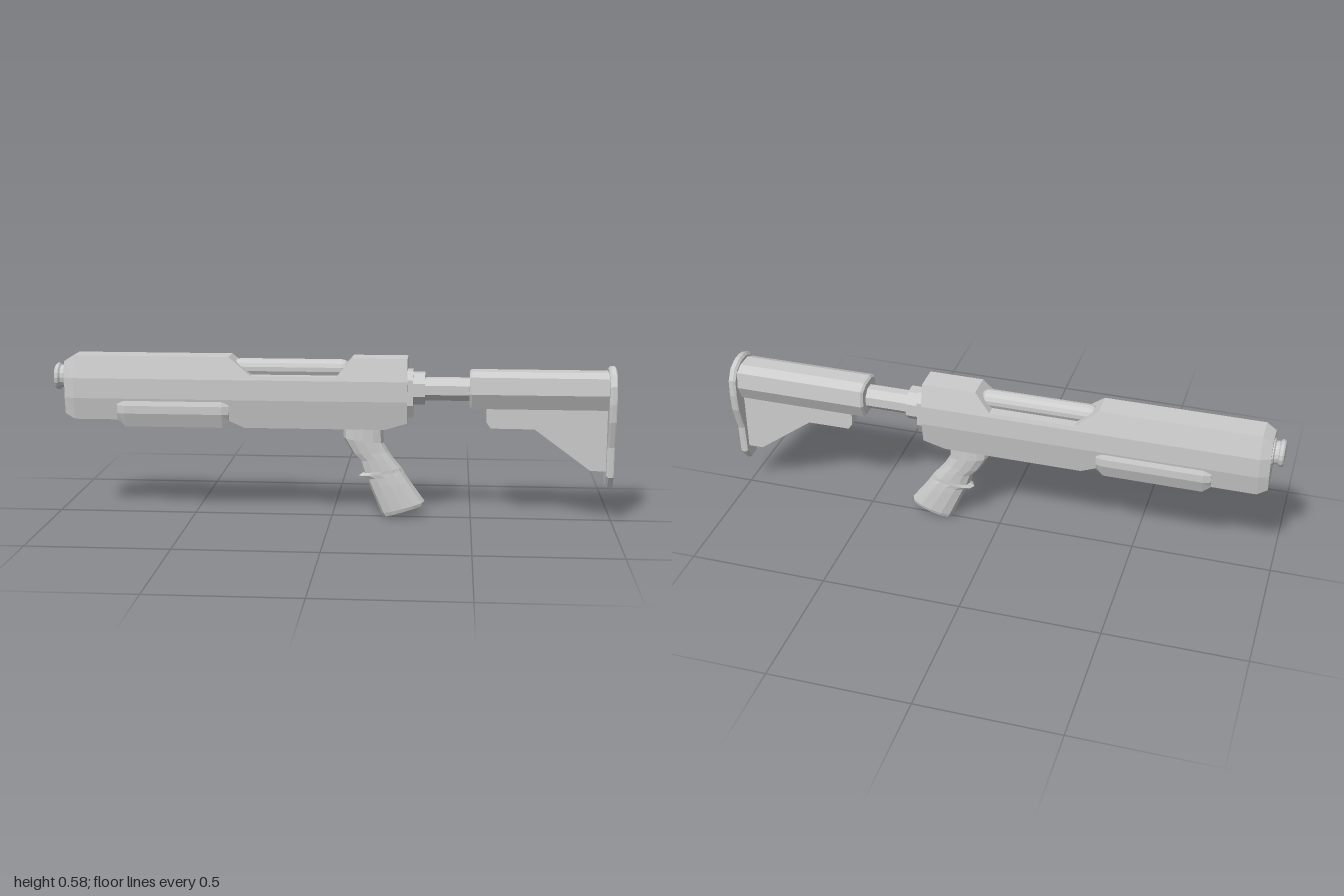
import * as THREE from 'three';

const material = new THREE.MeshStandardMaterial({ color: 0xcccccc, flatShading: true, side: THREE.DoubleSide });

// Skin a row of equal-length closed loops and cap both ends
function loft(loops) {
  const pos = [], n = loops[0].length;
  const tri = (...p) => p.forEach(v => pos.push(...v));
  const centre = l => [0, 1, 2].map(k => l.reduce((s, p) => s + p[k], 0) / n);
  const first = loops[0], last = loops[loops.length - 1];
  const c0 = centre(first), c1 = centre(last);
  for (let i = 0; i < n; i++) {
    const j = (i + 1) % n;
    for (let s = 0; s < loops.length - 1; s++) {
      const a = loops[s], b = loops[s + 1];
      tri(a[i], a[j], b[j]);
      tri(a[i], b[j], b[i]);
    }
    tri(c0, first[j], first[i]);
    tri(c1, last[i], last[j]);
  }
  const g = new THREE.BufferGeometry();
  g.setAttribute('position', new THREE.Float32BufferAttribute(pos, 3));
  g.computeVertexNormals();
  return g;
}

// Mirrored loop at x from a half profile of [y, z] listed top to bottom
function section(x, half) {
  const left = half.map(([y, z]) => [x, y, z]);
  const right = half.map(([y, z]) => [x, y, -z]).reverse();
  return [...left, ...right];
}

// Shrink a half profile about a height
const scaled = (half, s, cy) => half.map(([y, z]) => [cy + (y - cy) * s, z * s]);

export function createModel() {
  const group = new THREE.Group();
  const add = (name, geometry) => {
    const mesh = new THREE.Mesh(geometry, material);
    mesh.name = name;
    group.add(mesh);
    return mesh;
  };
  // Cylinder lying along x
  const barX = (name, x0, x1, y, r, sides, turn = 0) => {
    const g = new THREE.CylinderGeometry(r, r, x1 - x0, sides);
    g.rotateY(turn).rotateZ(Math.PI / 2).translate((x0 + x1) / 2, y, 0);
    return add(name, g);
  };

  // Receiver: x, top, bottom, width scale
  const bodyHalf = (top, bottom, s) => [
    [top, s * (0.067 - Math.max(0, top - 0.505) * 0.25)],
    [Math.min(0.505, top), 0.067 * s],
    [0.433, 0.067 * s],
    [bottom, s * (0.067 - (0.433 - bottom) * 0.18)],
  ];
  add('receiver', loft([
    [-0.96, 0.563, 0.374, 0.8], [-0.925, 0.585, 0.355, 1], [-0.365, 0.585, 0.355, 1],
    [-0.31, 0.54, 0.33, 1], [-0.285, 0.52, 0.33, 1], [0.02, 0.52, 0.33, 1],
    [0.075, 0.585, 0.33, 1], [0.19, 0.585, 0.33, 1], [0.27, 0.585, 0.355, 1],
  ].map(([x, t, b, s]) => section(x, bodyHalf(t, b, s)))));

  // Rounded bolt tube lying in the top recess
  const bolt = add('boltTube', new THREE.CapsuleGeometry(0.034, 0.36, 4, 14));
  bolt.rotation.z = Math.PI / 2;
  bolt.position.set(-0.145, 0.541, 0);

  // Handguard around the lower front
  const guard = [[0.425, 0.066], [0.408, 0.072], [0.38, 0.072], [0.33, 0.054]];
  const guardTip = [[0.425, 0.06], [0.408, 0.065], [0.38, 0.065], [0.353, 0.052]];
  add('handguard', loft([
    section(-0.768, guardTip), section(-0.74, guard), section(-0.39, guard), section(-0.365, guardTip),
  ]));

  // Muzzle with a grooved rim
  const rim = [[0, 0], [0.043, 0], [0.048, 0.006], [0.048, 0.014], [0.041, 0.02], [0.041, 0.032], [0.048, 0.036], [0.048, 0.06]];
  const muzzle = add('muzzle', new THREE.LatheGeometry(rim.map(p => new THREE.Vector2(...p)), 16));
  muzzle.rotation.z = -Math.PI / 2;
  muzzle.position.set(-1, 0.502, 0);

  // Rear plate, nut and stock tube
  const plate = [[0.54, 0.03], [0.51, 0.058], [0.42, 0.058], [0.374, 0.03]];
  add('rearPlate', loft([section(0.26, plate), section(0.29, plate)]));
  barX('stockNut', 0.285, 0.332, 0.475, 0.06, 8, Math.PI / 8);
  barX('stockTube', 0.32, 0.51, 0.473, 0.043, 8, Math.PI / 8);

  // Stock body with a slightly chamfered front
  const stock = [[0.541, 0.03], [0.525, 0.066], [0.465, 0.072], [0.41, 0.045]];
  add('stockBody', loft([
    section(0.489, scaled(stock, 0.9, 0.475)), section(0.497, stock), section(0.98, stock),
  ]));

  // Stock web below the body
  const web = new THREE.Shape([
    [0.55, 0.42], [0.55, 0.36], [0.565, 0.338], [0.72, 0.337], [0.92, 0.19], [0.98, 0.19], [0.98, 0.42],
  ].map(p => new THREE.Vector2(...p)));
  add('stockWeb', new THREE.ExtrudeGeometry(web, { depth: 0.064, bevelEnabled: false }).translate(0, 0, -0.032));

  // Butt plate
  const butt = [
    [0.56, 0.012], [0.556, 0.032], [0.541, 0.064], [0.502, 0.088], [0.44, 0.091],
    [0.375, 0.085], [0.28, 0.055], [0.22, 0.052], [0.17, 0.05], [0.127, 0.019],
  ];
  add('buttPlate', loft([
    section(0.974, scaled(butt, 0.96, 0.35)), section(0.982, butt),
    section(0.996, butt), section(1, scaled(butt, 0.98, 0.35)),
  ]));

  // Pistol grip: front x, front y, back x, back y, half width
  const grip = [
    [0.04, 0.345, 0.185, 0.345, 0.036], [0.042, 0.292, 0.186, 0.275, 0.036],
    [0.075, 0.235, 0.205, 0.242, 0.034], [0.1, 0.21, 0.222, 0.218, 0.034],
    [0.113, 0.165, 0.25, 0.185, 0.034], [0.097, 0.153, 0.258, 0.172, 0.034],
    [0.125, 0.142, 0.265, 0.16, 0.034], [0.137, 0.115, 0.282, 0.135, 0.035],
    [0.178, 0.016, 0.335, 0.062, 0.036], [0.186, 0.003, 0.333, 0.05, 0.032],
  ];
  add('grip', loft(grip.map(([fx, fy, bx, by, w]) => Array.from({ length: 12 }, (_, i) => {
    const a = (i / 12) * Math.PI * 2, u = Math.cos(a), v = Math.sin(a);
    const t = (1 + u) / 2;
    return [fx + (bx - fx) * t, fy + (by - fy) * t, w * Math.sign(v) * Math.pow(Math.abs(v), 0.7)];
  }))));

  return group;
}
